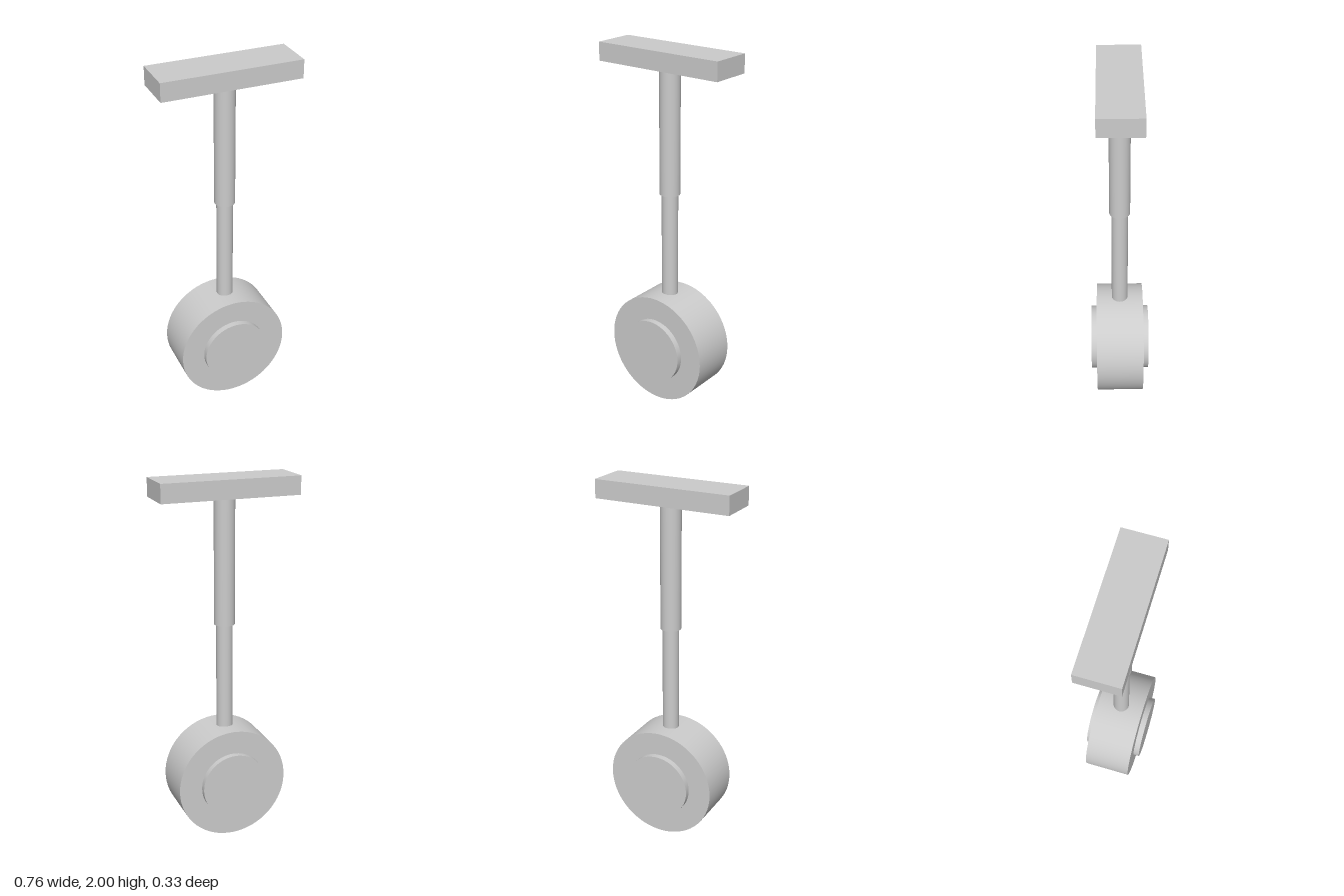
import * as THREE from 'three';

const SEGMENTS = 64;
const material = new THREE.MeshStandardMaterial({ color: 0xcccccc });

function addPart(group, name, geometry, y) {
  const mesh = new THREE.Mesh(geometry, material);
  mesh.name = name;
  mesh.position.y = y;
  group.add(mesh);
}

// Upright round bar between two heights
function addRod(group, name, radius, bottom, top) {
  addPart(group, name, new THREE.CylinderGeometry(radius, radius, top - bottom, SEGMENTS), (top + bottom) / 2);
}

// Round disc with its axis along z
function addDisc(group, name, radius, depth, y) {
  const geometry = new THREE.CylinderGeometry(radius, radius, depth, SEGMENTS).rotateX(Math.PI / 2);
  addPart(group, name, geometry, y);
}

export function createModel() {
  const model = new THREE.Group();
  const wheelY = 0.313;

  // Wheel with a hub standing proud on both faces
  addDisc(model, 'wheel', 0.311, 0.262, wheelY);
  addDisc(model, 'hub', 0.182, 0.328, wheelY);

  // Telescopic strut, its lower end sunk into the wheel
  addRod(model, 'piston', 0.045, 0.58, 1.25);
  addRod(model, 'strutSleeve', 0.056, 1.21, 1.9);

  // Mounting plate on top
  addPart(model, 'mountingPlate', new THREE.BoxGeometry(0.758, 0.1, 0.232), 1.95);

  return model;
}
